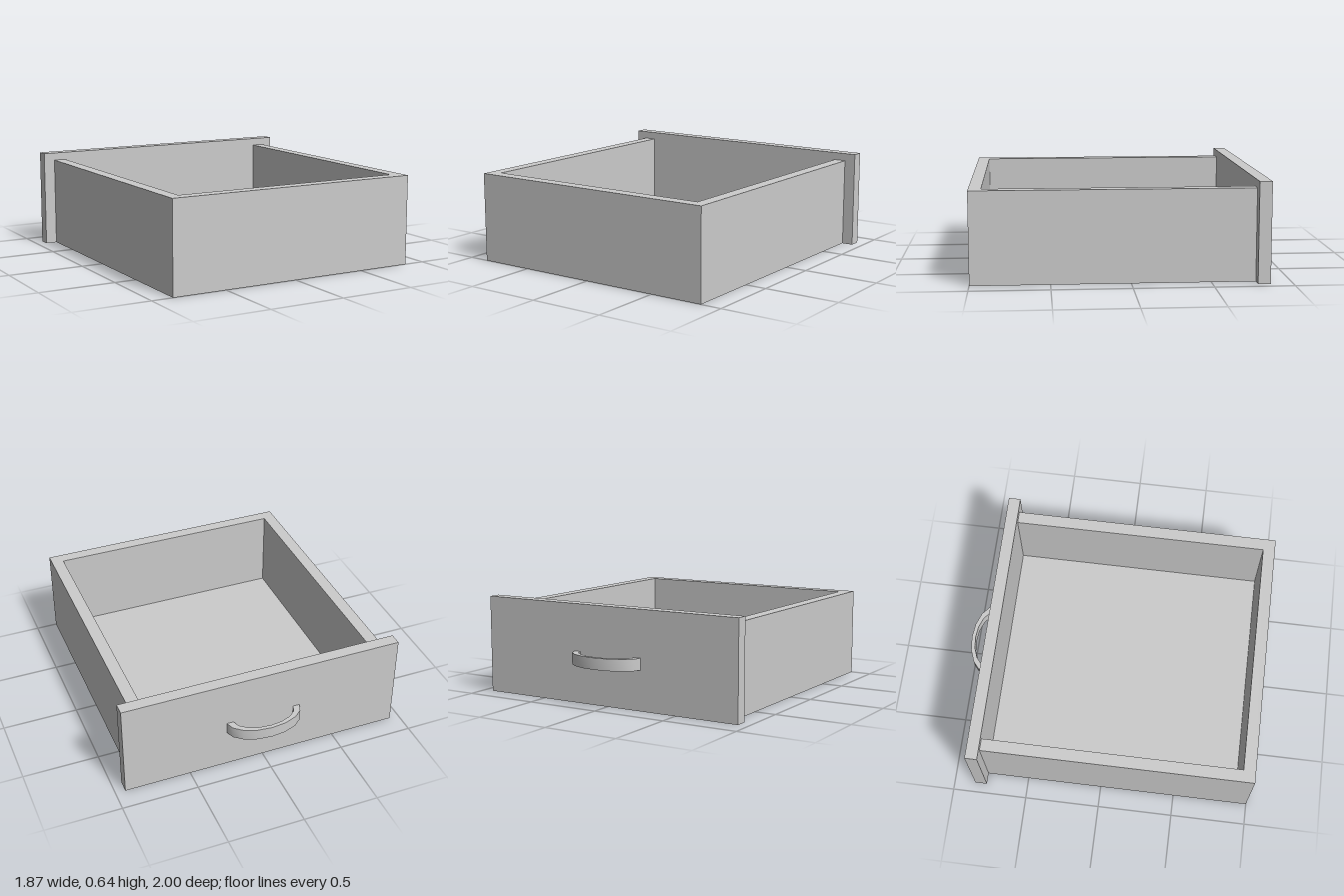
import * as THREE from 'three';
import { toCreasedNormals } from 'three/addons/utils/BufferGeometryUtils.js';

const grey = new THREE.MeshStandardMaterial({ color: 0xcccccc });

// Extrudes a plan outline upward; outline points are [x, -z]
function extrudeUp(points, height) {
  const shape = new THREE.Shape(points.map(([x, y]) => new THREE.Vector2(x, y)));
  return new THREE.ExtrudeGeometry(shape, { depth: height, bevelEnabled: false })
    .rotateX(-Math.PI / 2);
}

// Points of a half ellipse from right to left
function halfEllipse(a, b, segments) {
  return Array.from({ length: segments + 1 }, (_, i) => {
    const t = (Math.PI * i) / segments;
    return [a * Math.cos(t), b * Math.sin(t)];
  });
}

export function createModel() {
  const model = new THREE.Group();
  model.name = 'drawer';

  function add(name, geometry, x, y, z) {
    const mesh = new THREE.Mesh(geometry, grey);
    mesh.name = name;
    mesh.position.set(x, y, z);
    model.add(mesh);
  }

  const outer = 0.86, inner = 0.78, panelInner = 0.78; // half widths, panel inner face at -z
  const height = 0.59, floorHeight = 0.05;

  // U-shaped walls, open toward the face panel
  add('walls', extrudeUp([
    [-outer, panelInner], [-outer, -1], [outer, -1], [outer, panelInner],
    [inner, panelInner], [inner, -0.92], [-inner, -0.92], [-inner, panelInner],
  ], height), 0, 0, 0);

  // Bottom board between the walls
  add('floor', new THREE.BoxGeometry(inner * 2, floorHeight, 1.7), 0, floorHeight / 2, 0.07);

  // Overhanging face panel
  add('facePanel', new THREE.BoxGeometry(1.87, 0.64, 0.08), 0, 0.32, -0.82);

  // Curved strap handle
  const arch = [...halfEllipse(0.25, 0.14, 8), ...halfEllipse(0.205, 0.115, 8).reverse()];
  add('handle', toCreasedNormals(extrudeUp(arch, 0.075), 0.7), 0, 0.26, -0.86);

  return model;
}
